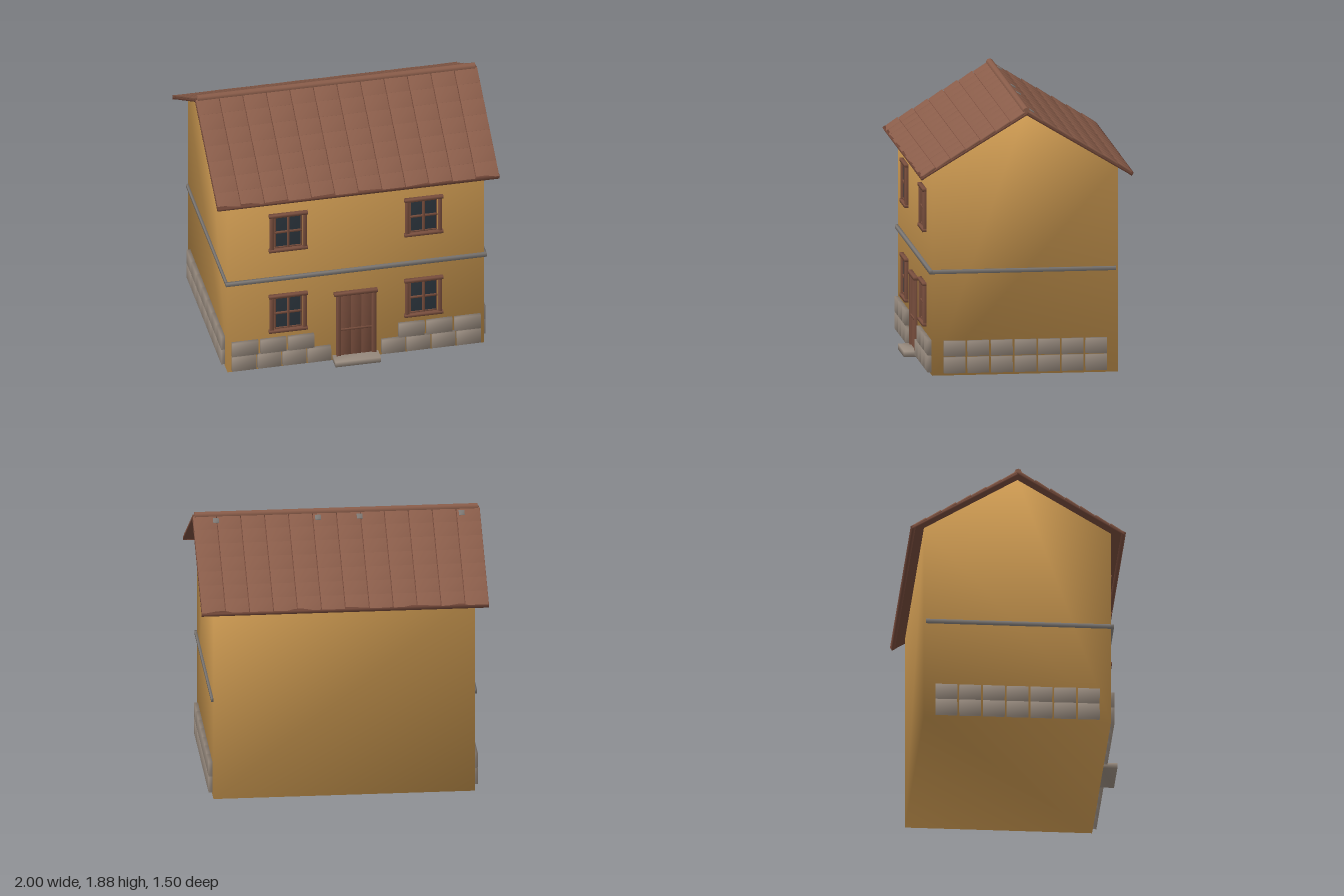
import * as THREE from 'three';
import { mergeGeometries, mergeVertices } from 'three/addons/utils/BufferGeometryUtils.js';

const mat = (name, color) => {
  const m = new THREE.MeshStandardMaterial({ color });
  m.name = name;
  return m;
};

// Shares corners so that normals run smoothly across the edges
function soften(geo) {
  geo.deleteAttribute('normal');
  geo.deleteAttribute('uv');
  const g = mergeVertices(geo, 1e-4);
  g.computeVertexNormals();
  return g;
}

// Soft box given by its limits on each axis, with an optional tilt
function box(x0, x1, y0, y1, z0, z1, tiltX = 0, tiltZ = 0) {
  const g = soften(new THREE.BoxGeometry(x1 - x0, y1 - y0, z1 - z0));
  g.rotateX(tiltX).rotateZ(tiltZ);
  return g.translate((x0 + x1) / 2, (y0 + y1) / 2, (z0 + z1) / 2);
}

function part(parent, name, geos, material) {
  const mesh = new THREE.Mesh(Array.isArray(geos) ? mergeGeometries(geos) : geos, material);
  mesh.name = name;
  parent.add(mesh);
  return mesh;
}

function group(parent, name) {
  const g = new THREE.Group();
  g.name = name;
  parent.add(g);
  return g;
}

export function createModel() {
  const house = new THREE.Group();
  house.name = 'house';
  const plaster = mat('ochre plaster', 0xc8964f);
  const tile = mat('clay tile', 0x8a5d4a);
  const roofWood = mat('roof wood', 0x74493a);
  const wood = mat('brown wood', 0x7a4f3e);
  const stone = mat('wall stone', 0x978a7e);
  const trim = mat('grey trim', 0x7e7975);
  const glass = mat('dark glass', 0x2c353d);

  let seed = 7;
  const jitter = (a) => {
    seed = (seed * 16807) % 2147483647;
    return (seed / 2147483647 - 0.5) * 2 * a;
  };

  // Walls with gables
  const W = 0.91, D = 0.65;
  const gable = new THREE.Shape([[-D, 0], [D, 0], [D, 1.45], [0, 1.84], [-D, 1.45]]
    .map(([x, y]) => new THREE.Vector2(x, y)));
  const walls = new THREE.ExtrudeGeometry(gable, { depth: 2 * W, bevelEnabled: false });
  walls.translate(0, 0, -W).rotateY(Math.PI / 2);
  part(house, 'walls', soften(walls), plaster);

  // Roof: two slopes of overlapping tiles
  const pitch = Math.atan(0.6), rows = 7, cols = 12, step = 0.122;
  for (const [name, turn] of [['frontRoof', 0], ['backRoof', Math.PI]]) {
    const side = group(house, name);
    side.rotation.y = turn;
    const slope = group(side, name + 'Slope');
    slope.position.y = 1.855;
    slope.rotation.x = pitch;
    part(slope, 'roofBoards', box(-1, 1, -0.018, -0.004, 0, 0.865), roofWood);
    part(slope, 'eaveBatten', box(-1, 1, -0.02, 0.007, 0.845, 0.868), roofWood);
    const tiles = [];
    for (let r = 0; r < rows; r++) {
      for (let c = 0; c < cols; c++) {
        const x = -1 + (c + 0.5) * 2 / cols, z = 0.01 + r * step;
        tiles.push(box(x - 0.08, x + 0.08, -0.006, 0.01, z, z + step - 0.004,
          0.05 + jitter(0.015), jitter(0.015)));
      }
    }
    part(slope, 'tiles', tiles, tile);
    // Small mortar patches beside the ridge
    if (turn) {
      part(slope, 'mortarPatches', [-0.84, -0.13, 0.16, 0.87].map((x) =>
        box(x - 0.02, x + 0.02, 0.004, 0.016, 0.035, 0.075)), trim);
    }
  }
  const ridge = new THREE.CylinderGeometry(0.025, 0.025, 1.97, 8);
  part(house, 'ridgeCap', ridge.rotateZ(Math.PI / 2).translate(0, 1.86, 0), tile);

  // String course on the front and both ends
  part(house, 'stringCourse', [
    box(-0.925, 0.925, 0.717, 0.745, D - 0.005, D + 0.02),
    box(W - 0.005, W + 0.015, 0.717, 0.745, -0.635, D),
    box(-W - 0.015, -W + 0.005, 0.717, 0.745, -0.635, D),
  ], trim);

  // Stone facing
  const lower = [[0.18, 0.345], [0.357, 0.523], [0.535, 0.7], [0.712, 0.882]];
  const upper = [[0.3, 0.483], [0.497, 0.68], [0.695, 0.882]];
  const stoneRows = [[0.018, 0.13], [0.138, 0.245]];
  const frontStones = [], endStones = [];
  for (const s of [-1, 1]) {
    [lower, upper].forEach((list, r) => list.forEach(([a, b]) => {
      const [x0, x1] = s > 0 ? [a, b] : [-b, -a];
      frontStones.push(box(x0, x1, ...stoneRows[r], D - 0.015, D + 0.028, 0, jitter(0.015)));
    }));
    for (const [y0, y1] of stoneRows) {
      for (let i = 0; i < 7; i++) {
        const z = (i - 3) * 0.165;
        const x = s * (W + 0.007);
        endStones.push(box(x - 0.02, x + 0.02, y0, y1, z - 0.075, z + 0.075, jitter(0.015)));
      }
    }
  }
  part(house, 'frontStones', frontStones, stone);
  part(house, 'endStones', endStones, stone);

  // Windows
  function window(x, y) {
    const w = group(house, 'window');
    w.position.set(x, y, D);
    part(w, 'pane', box(-0.097, 0.097, -0.127, 0.127, -0.004, 0.004), glass);
    part(w, 'frame', [
      box(-0.138, 0.138, 0.132, 0.153, -0.005, 0.028),
      box(-0.138, 0.138, -0.153, -0.132, -0.005, 0.028),
      box(-0.13, -0.103, -0.133, 0.133, -0.005, 0.022),
      box(0.103, 0.13, -0.133, 0.133, -0.005, 0.022),
    ], wood);
    part(w, 'glazingBars', [
      box(-0.008, 0.008, -0.127, 0.127, 0, 0.014),
      box(-0.097, 0.097, -0.008, 0.008, 0, 0.012),
      box(-0.097, -0.088, -0.127, 0.127, 0, 0.01),
      box(0.088, 0.097, -0.127, 0.127, 0, 0.01),
      box(-0.097, 0.097, 0.118, 0.127, 0, 0.01),
      box(-0.097, 0.097, -0.127, -0.118, 0, 0.01),
    ], wood);
  }
  for (const x of [-0.482, 0.478]) for (const y of [0.447, 1.112]) window(x, y);

  // Door with planks, rail, frame and step
  const door = group(house, 'door');
  door.position.z = D;
  const planks = [-1, 0, 1].map((i) =>
    box(i * 0.073 - 0.0355, i * 0.073 + 0.0355, 0.03, 0.54, -0.005, 0.012));
  part(door, 'planks', planks, wood);
  part(door, 'rail', box(-0.108, 0.108, 0.243, 0.258, 0, 0.017), wood);
  part(door, 'doorFrame', [
    box(-0.14, -0.11, 0.03, 0.54, -0.005, 0.022),
    box(0.11, 0.14, 0.03, 0.54, -0.005, 0.022),
    box(-0.157, 0.15, 0.536, 0.56, -0.005, 0.03),
  ], wood);
  part(door, 'doorStep', box(-0.165, 0.157, 0, 0.04, -0.01, 0.098), stone);

  return house;
}
